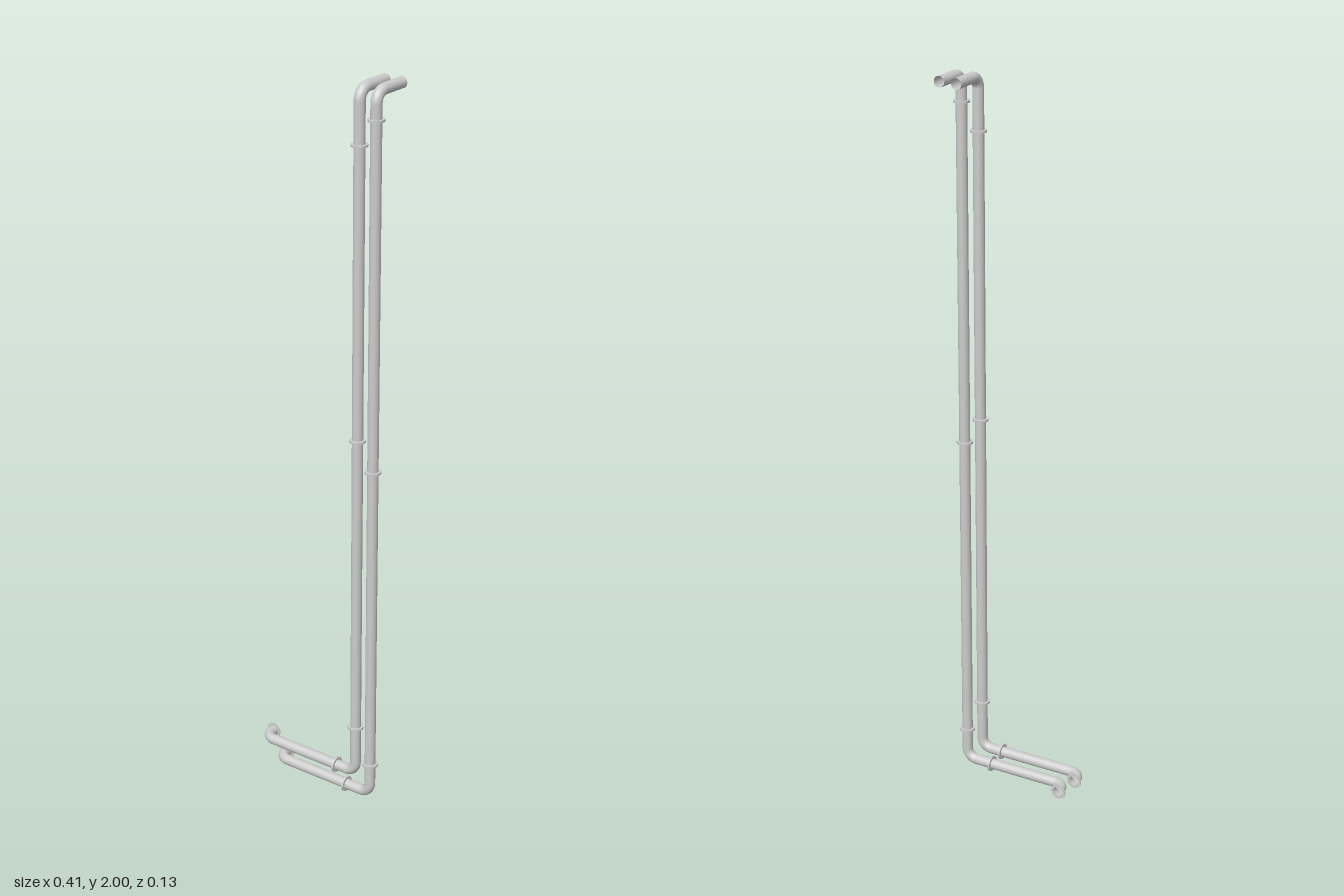
import * as THREE from 'three';

const PIPE_R = 0.0147, FLANGE_R = 0.0215, BEND = 0.031, SIDES = 24;
const V = (x, y, z) => new THREE.Vector3(x, y, z);

export function createModel() {
  const group = new THREE.Group();
  const mat = new THREE.MeshStandardMaterial({ color: 0xcccccc, side: THREE.DoubleSide });

  function add(parent, geometry, name) {
    const mesh = new THREE.Mesh(geometry, mat);
    mesh.name = name;
    parent.add(mesh);
    return mesh;
  }

  // Open pipe following corner points, with a rounded elbow at each inner corner
  function pipeRun(parent, corners) {
    let start = corners[0];
    for (let i = 1; i < corners.length; i++) {
      const corner = corners[i], next = corners[i + 1];
      const back = corners[i - 1].clone().sub(corner).normalize();
      const end = next ? corner.clone().addScaledVector(back, BEND) : corner;
      add(parent, new THREE.TubeGeometry(new THREE.LineCurve3(start, end), 1, PIPE_R, SIDES), 'straightPipe');
      if (!next) break;
      const ahead = next.clone().sub(corner).normalize();
      const out = corner.clone().addScaledVector(ahead, BEND);
      const k = BEND * 0.4477; // handle distance for a circular quarter arc
      const arc = new THREE.CubicBezierCurve3(end,
        corner.clone().addScaledVector(back, k), corner.clone().addScaledVector(ahead, k), out);
      add(parent, new THREE.TubeGeometry(arc, 10, PIPE_R, SIDES), 'elbow');
      start = out;
    }
  }

  // Flat ring around the pipe, hollow in the middle
  function flange(parent, position, axis, thickness, name) {
    const shape = new THREE.Shape().absarc(0, 0, FLANGE_R, 0, Math.PI * 2);
    shape.holes.push(new THREE.Path().absarc(0, 0, PIPE_R - 0.001, 0, Math.PI * 2, true));
    const geo = new THREE.ExtrudeGeometry(shape, { depth: thickness, bevelEnabled: false, curveSegments: SIDES });
    geo.translate(0, 0, -thickness / 2);
    const ring = add(parent, geo, name);
    ring.position.copy(position);
    ring.quaternion.setFromUnitVectors(V(0, 0, 1), axis);
  }

  const z = 0.041, top = 1.985;
  const pipes = [
    { name: 'upperPipe', x: 0.131, y: 0.071, endX: -0.182, jointX: 0.067, joints: [0.215, 1.065, 1.845] },
    { name: 'lowerPipe', x: 0.18, y: 0.022, endX: -0.133, jointX: 0.101, joints: [0.115, 0.99, 1.915] },
  ];
  for (const p of pipes) {
    const pipe = new THREE.Group();
    pipe.name = p.name;
    group.add(pipe);
    pipeRun(pipe, [V(p.endX, p.y, 0), V(p.endX, p.y, z), V(p.x, p.y, z), V(p.x, top, z), V(p.x, top, -0.066)]);
    flange(pipe, V(p.endX, p.y, 0.001), V(0, 0, 1), 0.003, 'endFlange');
    flange(pipe, V(p.jointX, p.y, z), V(1, 0, 0), 0.006, 'horizontalJointFlange');
    for (const y of p.joints) flange(pipe, V(p.x, y, z), V(0, 1, 0), 0.006, 'verticalJointFlange');
  }
  return group;
}
